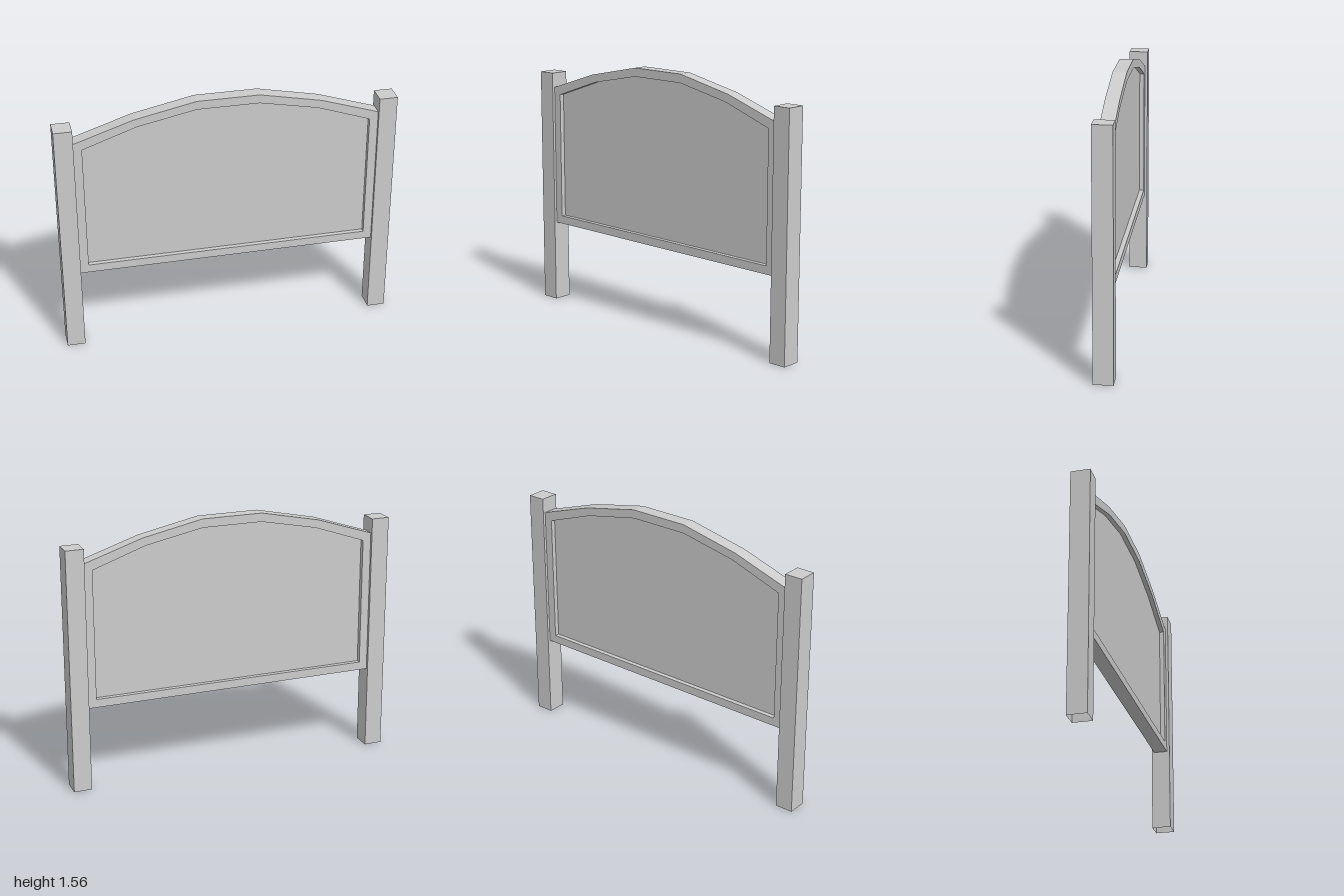
import * as THREE from 'three';

const material = new THREE.MeshStandardMaterial({ color: 0xcccccc, flatShading: true, side: THREE.DoubleSide });

// Symmetric outline: flat bottom edge and a faceted arch on top
function archPoints(bottom, arch) {
  const right = [[arch[0][0], bottom], ...arch];
  const left = right.map(([x, y]) => [-x, y]).reverse();
  return [...right, ...left].map(([x, y]) => new THREE.Vector2(x, y));
}

export function createModel() {
  const group = new THREE.Group();
  const add = (name, geometry, x = 0, y = 0, z = 0) => {
    const mesh = new THREE.Mesh(geometry, material);
    mesh.name = name;
    mesh.position.set(x, y, z);
    group.add(mesh);
    return mesh;
  };

  const postWidth = 0.108, postHeight = 1.46, postDepth = 0.115;
  const frameDepth = 0.082, recess = 0.028;

  // Square posts, open at the foot (the bottom side of the box is left out)
  for (const [name, side] of [['leftPost', 1], ['rightPost', -1]]) {
    const box = new THREE.BoxGeometry(postWidth, postHeight, postDepth);
    const index = Array.from(box.index.array);
    index.splice(18, 6);
    box.setIndex(index);
    box.clearGroups();
    add(name, box, side * (1 - postWidth / 2), postHeight / 2, 0);
  }

  // Arched frame with an opening of the same form
  const outer = archPoints(0.503, [[0.892, 1.37], [0.545, 1.484], [0.183, 1.56]]);
  const inner = archPoints(0.553, [[0.842, 1.328], [0.527, 1.438], [0.182, 1.508]]);
  const frame = new THREE.Shape(outer);
  frame.holes.push(new THREE.Path(inner));
  add('archedFrame', new THREE.ExtrudeGeometry(frame, { depth: frameDepth, bevelEnabled: false }), 0, 0, -frameDepth / 2);

  // Recessed panel faces, front and back
  const panel = new THREE.ShapeGeometry(new THREE.Shape(inner));
  const panelZ = frameDepth / 2 - recess;
  add('frontPanel', panel, 0, 0, panelZ);
  add('backPanel', panel, 0, 0, -panelZ).rotation.y = Math.PI;

  return group;
}
